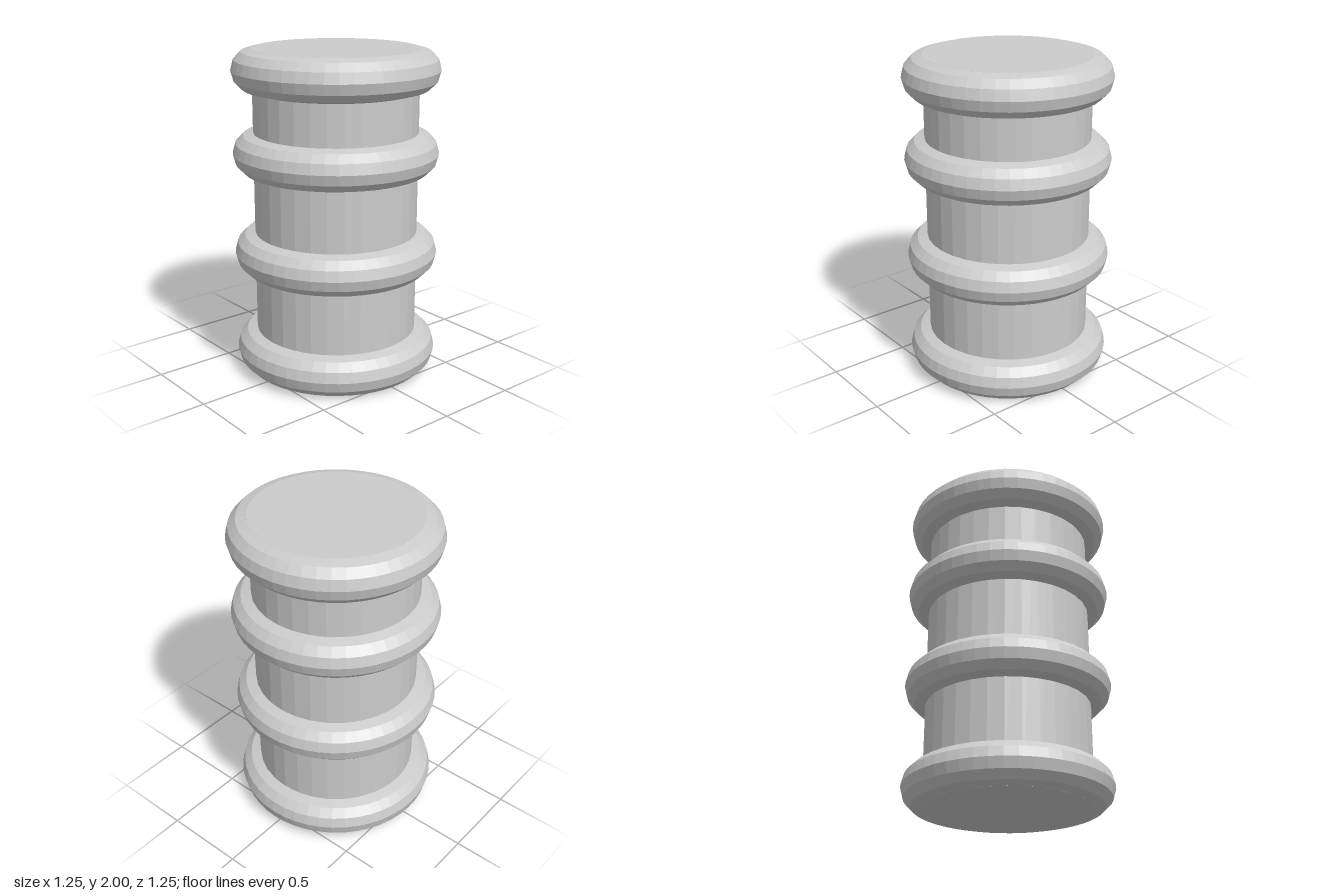
import * as THREE from 'three';

export function createModel() {
  const group = new THREE.Group();
  group.name = 'ribbedBarrel';
  const material = new THREE.MeshStandardMaterial({ color: 0xcccccc, flatShading: true });
  const bodyRadius = 0.5;
  const ringRadius = 0.125;

  // Solid core with flat caps
  const body = new THREE.Mesh(new THREE.CylinderGeometry(bodyRadius, bodyRadius, 2, 32), material);
  body.name = 'body';
  body.position.y = 1;
  group.add(body);

  // Rounded hoops, half sunk into the core
  const ringGeometry = new THREE.TorusGeometry(bodyRadius, ringRadius, 12, 48);
  ringGeometry.rotateX(Math.PI / 2);
  const rings = { bottomRing: 0.125, lowerRing: 0.755, upperRing: 1.375, topRing: 1.875 };
  for (const [name, y] of Object.entries(rings)) {
    const ring = new THREE.Mesh(ringGeometry, material);
    ring.name = name;
    ring.position.y = y;
    group.add(ring);
  }
  return group;
}
